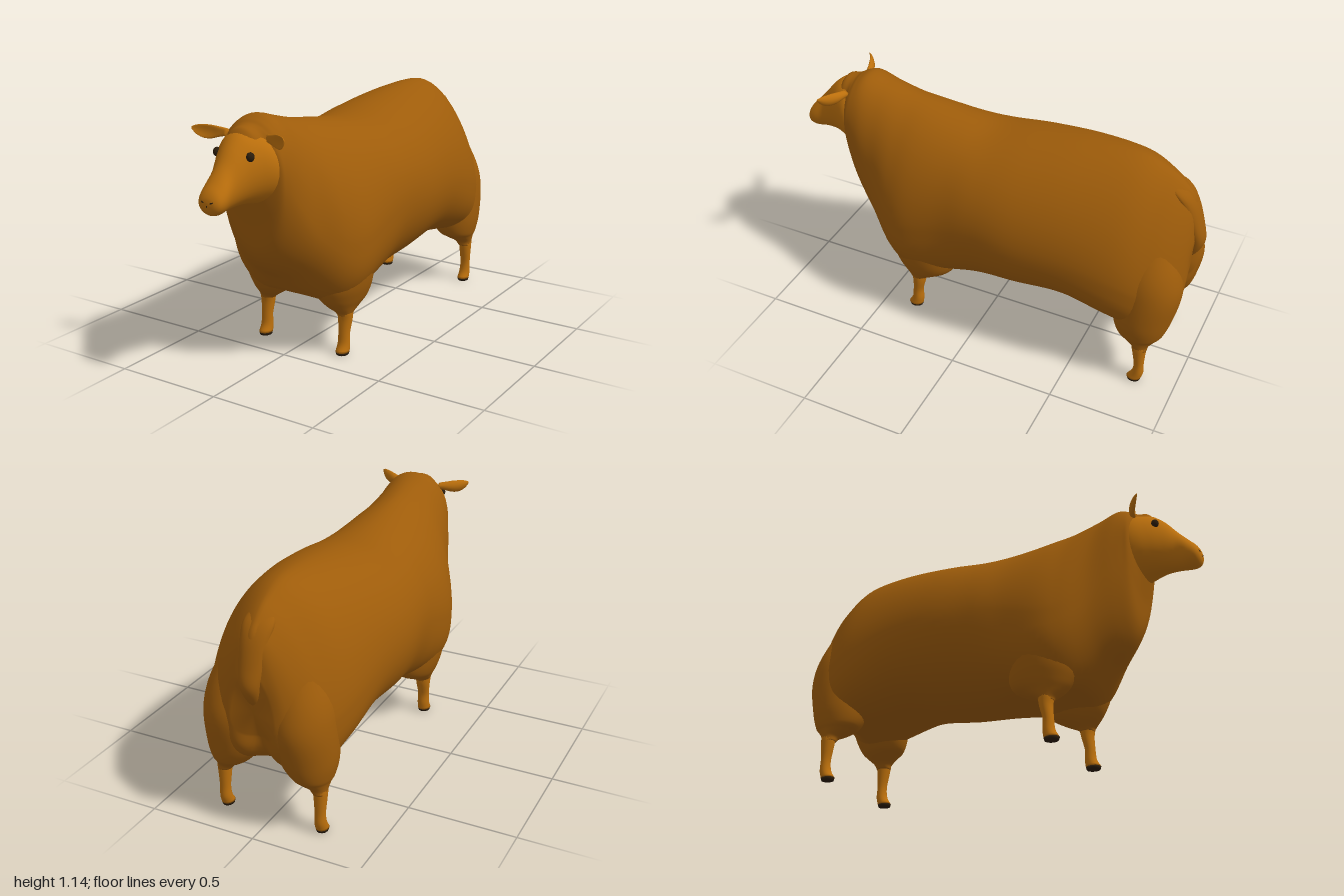
import * as THREE from 'three';

const mat = (name, color) => Object.assign(new THREE.MeshStandardMaterial({ color }), { name });
const gauss = (v, s) => Math.exp(-(v * v) / (s * s));
const spow = (v, p) => Math.sign(v) * Math.pow(Math.abs(v), p);

// Smooth skin through sections; point(section, cos, sin) places each ring vertex
function loft(sections, steps, sides, point) {
  const size = sections[0].length;
  const curve = new THREE.CubicInterpolant(sections.map((_, i) => i), sections.flat(), size);
  const pos = [], index = [];
  for (let i = 0; i <= steps; i++) {
    const s = Array.from(curve.evaluate((i / steps) * (sections.length - 1)));
    for (let j = 0; j < sides; j++) {
      const a = (j / sides) * Math.PI * 2;
      pos.push(...point(s, Math.cos(a), Math.sin(a)));
    }
  }
  for (let i = 0; i < steps; i++) {
    for (let j = 0; j < sides; j++) {
      const a = i * sides + j, b = i * sides + (j + 1) % sides;
      index.push(a, b, a + sides, b, b + sides, a + sides);
    }
  }
  // Close both ends with a fan around the ring centre
  for (const [row, flip] of [[0, true], [steps, false]]) {
    const c = [0, 0, 0], start = row * sides, centre = pos.length / 3;
    for (let j = 0; j < sides; j++) for (let k = 0; k < 3; k++) c[k] += pos[(start + j) * 3 + k] / sides;
    pos.push(...c);
    for (let j = 0; j < sides; j++) {
      const a = start + j, b = start + (j + 1) % sides;
      index.push(centre, flip ? b : a, flip ? a : b);
    }
  }
  const g = new THREE.BufferGeometry();
  g.setAttribute('position', new THREE.Float32BufferAttribute(pos, 3));
  g.setIndex(index);
  g.computeVertexNormals();
  return g;
}

export function createModel() {
  const model = new THREE.Group();
  model.name = 'sheep';
  const wool = mat('wool', 0x9e5c0a);
  const skin = mat('skin', 0xbb6f0c);
  const dark = mat('dark', 0x2b1d0c);
  const add = (name, geometry, material) => {
    const m = new THREE.Mesh(geometry, material);
    m.name = name;
    model.add(m);
    return m;
  };

  // Woolly body: z, top, bottom, half width, height of widest point, upper and lower squareness
  const body = [
    [-0.965, 0.78, 0.45, 0.10, 0.55, 1.6, 2],
    [-0.945, 0.91, 0.38, 0.165, 0.53, 1.5, 2.2],
    [-0.90, 0.975, 0.33, 0.232, 0.52, 1.5, 2.6],
    [-0.82, 1.035, 0.30, 0.29, 0.53, 1.55, 3],
    [-0.68, 1.085, 0.30, 0.332, 0.58, 1.7, 2.8],
    [-0.45, 1.08, 0.32, 0.355, 0.64, 1.85, 2.2],
    [-0.20, 1.05, 0.28, 0.37, 0.65, 1.95, 2],
    [0, 1.022, 0.262, 0.355, 0.65, 2, 2.1],
    [0.15, 1.035, 0.26, 0.343, 0.61, 1.9, 2.6],
    [0.33, 1.065, 0.27, 0.34, 0.56, 1.8, 3.1],
    [0.44, 1.085, 0.285, 0.307, 0.57, 1.8, 2.8],
    [0.55, 1.115, 0.385, 0.24, 0.65, 2, 2.3],
    [0.64, 1.14, 0.465, 0.20, 0.77, 2.2, 2],
    [0.69, 1.126, 0.55, 0.175, 0.87, 2.2, 2],
    [0.715, 1.112, 0.68, 0.16, 0.92, 2, 2],
    [0.735, 1.107, 0.77, 0.12, 0.96, 2, 2],
    [0.77, 1.10, 0.92, 0.09, 1.0, 2, 2],
    [0.795, 1.07, 0.98, 0.06, 1.02, 2, 2],
  ];
  add('woolBody', loft(body, 102, 64, ([z, top, bottom, w, mid, up, low], c, s) => {
    const x = w * spow(c, 2 / (s < 0 ? low : up));
    const down = Math.max(0, -spow(s, 2 / low));
    let y = s > 0 ? mid + (top - mid) * spow(s, 2 / up) : mid - (mid - bottom) * down;
    // Wool drawn down towards the legs
    const side = gauss(Math.abs(x) - 0.205, 0.09);
    y -= down * side * (0.06 * gauss(z - 0.31, 0.11) + 0.07 * gauss(z + 0.82, 0.09));
    // Cleft between the hind thighs
    const cleft = gauss(x, 0.06) * (1 - THREE.MathUtils.smoothstep(y, 0.58, 0.74));
    return [x, y, z + 0.07 * cleft * (1 - THREE.MathUtils.smoothstep(z, -0.95, -0.75))];
  }), wool);

  // Upright parts: y, z centre, x radius, z radius, sideways offset
  const column = (side) => ([y, z, rx, rz, x = 0], c, s) => [side * x + rx * c, y, z - rz * s];
  add('tail', loft([
    [0.60, -0.925, 0.012, 0.012],
    [0.66, -0.95, 0.034, 0.03],
    [0.72, -0.964, 0.046, 0.036],
    [0.80, -0.945, 0.058, 0.038],
    [0.90, -0.91, 0.066, 0.04],
    [0.96, -0.87, 0.07, 0.04],
    [1.0, -0.82, 0.05, 0.03],
  ], 28, 20, column(1)), wool);

  // Head: z, top, bottom, half width
  add('head', loft([
    [0.69, 1.085, 0.765, 0.15],
    [0.715, 1.09, 0.768, 0.155],
    [0.75, 1.09, 0.778, 0.143],
    [0.80, 1.075, 0.785, 0.112],
    [0.85, 1.033, 0.786, 0.083],
    [0.90, 0.972, 0.782, 0.064],
    [0.95, 0.917, 0.777, 0.064],
    [0.98, 0.885, 0.783, 0.056],
    [0.995, 0.86, 0.80, 0.038],
    [1.0, 0.84, 0.82, 0.012],
  ], 45, 36, ([z, top, bottom, w], c, s) =>
    [w * c, (top + bottom) / 2 + (top - bottom) / 2 * s, z]), skin);

  // Legs, with the hoof below the first row
  const frontLeg = [[0.013, 0.345, 0.031, 0.036], [0.05, 0.333, 0.029, 0.028], [0.10, 0.331, 0.028, 0.024],
    [0.16, 0.322, 0.034, 0.030], [0.20, 0.322, 0.038, 0.035], [0.23, 0.322, 0.038, 0.035]];
  const hindLeg = [[0.013, -0.810, 0.029, 0.034], [0.05, -0.826, 0.027, 0.027], [0.10, -0.828, 0.025, 0.023],
    [0.16, -0.824, 0.029, 0.029], [0.20, -0.822, 0.032, 0.034], [0.23, -0.822, 0.032, 0.034]];

  // Woolly shoulders and thighs tapering to the legs
  const shoulder = [[0.185, 0.322, 0.036, 0.034, 0.213], [0.20, 0.32, 0.047, 0.043, 0.206],
    [0.23, 0.303, 0.076, 0.092, 0.19], [0.27, 0.288, 0.106, 0.138, 0.18],
    [0.34, 0.29, 0.138, 0.165, 0.17], [0.45, 0.29, 0.156, 0.165, 0.165], [0.56, 0.29, 0.14, 0.13, 0.165]];
  const thigh = [[0.195, -0.822, 0.033, 0.035, 0.233], [0.22, -0.82, 0.046, 0.043, 0.222],
    [0.25, -0.81, 0.075, 0.08, 0.20], [0.28, -0.803, 0.097, 0.112, 0.19],
    [0.36, -0.803, 0.13, 0.138, 0.172], [0.50, -0.81, 0.142, 0.156, 0.16],
    [0.62, -0.80, 0.135, 0.145, 0.15], [0.76, -0.78, 0.10, 0.11, 0.13]];

  // Ear: x, y centre, z centre, half height, half thickness
  const ear = [[0.105, 1.062, 0.728, 0.016, 0.014], [0.135, 1.062, 0.737, 0.022, 0.014],
    [0.165, 1.061, 0.748, 0.029, 0.012], [0.195, 1.063, 0.764, 0.029, 0.009],
    [0.22, 1.07, 0.782, 0.02, 0.006], [0.235, 1.078, 0.797, 0.005, 0.003]];

  for (const side of [1, -1]) {
    const label = side > 0 ? 'left' : 'right';
    for (const [name, leg, x] of [['Front', frontLeg, 0.215], ['Hind', hindLeg, 0.235]]) {
      add(label + name + 'Leg', loft(leg, 20, 18, column(1)), skin).position.x = side * x;
      const [top, z, rx, rz] = leg[0];
      add(label + name + 'Hoof', loft([[0, z, rx * 0.88, rz * 0.88], [top, z, rx, rz]],
        2, 18, column(1)), dark).position.x = side * x;
    }
    add(label + 'Shoulder', loft(shoulder, 30, 32, column(side)), wool);
    add(label + 'Thigh', loft(thigh, 35, 32, column(side)), wool);

    // Ears cup gently forward at the upper and lower rims
    add(label + 'Ear', loft(ear, 20, 16, ([x, y, z, h, t], c, s) =>
      [side * x, y + h * c, z + t * side * s + 0.4 * h * c * c - 0.2 * h]), skin);

    const eye = add(label + 'Eye', new THREE.SphereGeometry(0.02, 16, 12), dark);
    eye.position.set(side * 0.085, 1.0, 0.82);
    eye.scale.set(0.85, 1, 0.88);

    const nostril = add(label + 'Nostril', new THREE.SphereGeometry(0.01, 10, 8), dark);
    nostril.position.set(side * 0.02, 0.84, 0.991);
    nostril.scale.set(1.4, 0.5, 0.9);
    nostril.rotation.z = side * 0.4;
  }

  // Mouth cleft below the nose
  const mouth = add('mouth', new THREE.SphereGeometry(0.01, 10, 8), dark);
  mouth.position.set(0, 0.825, 0.993);
  mouth.scale.set(0.6, 1, 0.8);
  return model;
}
